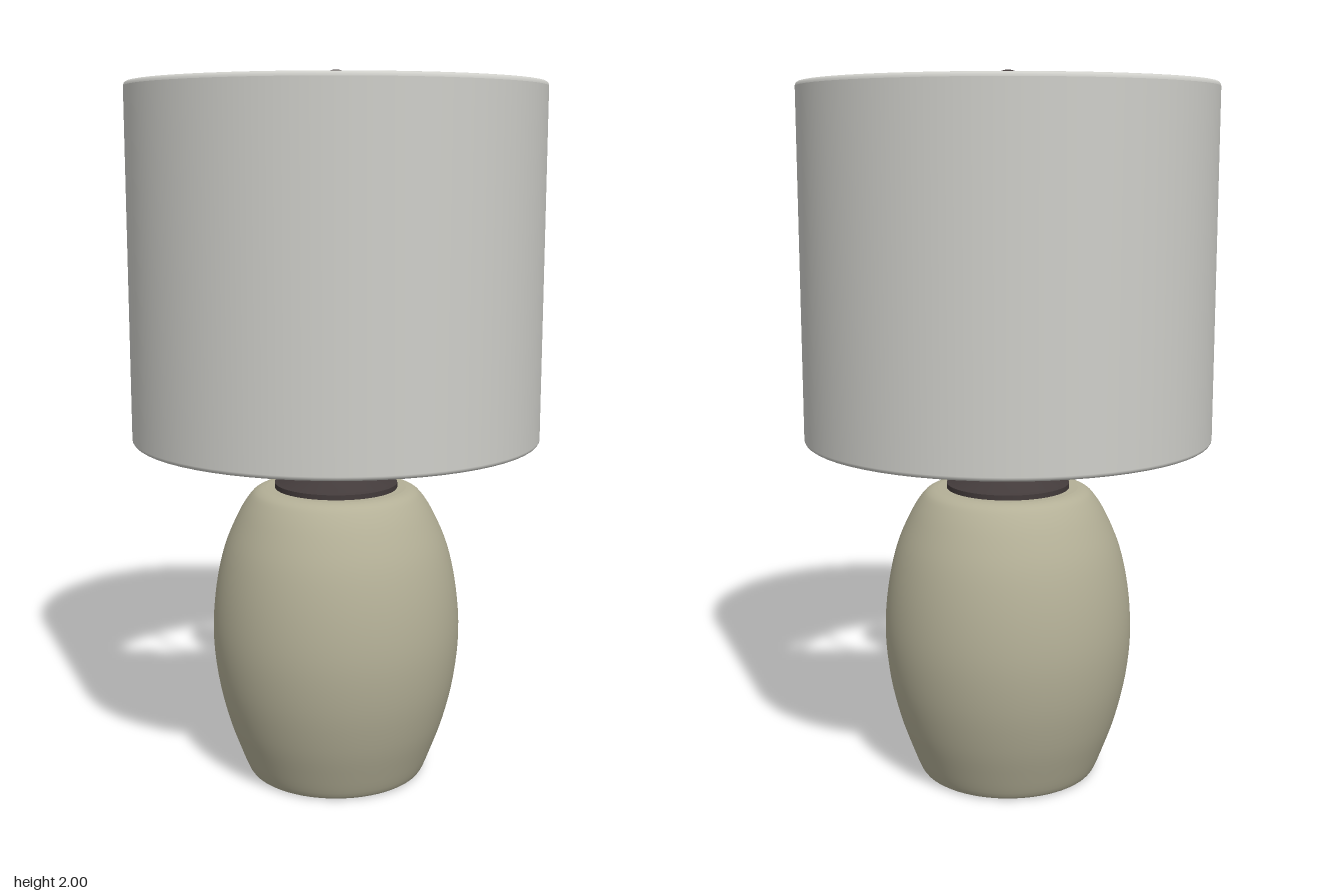
import * as THREE from 'three';

const mat = (name, color) => {
  const m = new THREE.MeshStandardMaterial({ color });
  m.name = name;
  return m;
};
const V = (x, y, z = 0) => new THREE.Vector3(x, y, z);

export function createModel() {
  const lamp = new THREE.Group();
  lamp.name = 'tableLamp';
  const linen = mat('pale grey linen', 0xcfcfca);
  const ceramic = mat('sage ceramic', 0xb4b097);
  const metal = mat('dark bronze', 0x433b3b);
  const glass = mat('white glass', 0xe6e6e6);

  const add = (name, geometry, material, x = 0, y = 0, z = 0) => {
    const mesh = new THREE.Mesh(geometry, material);
    mesh.name = name;
    mesh.position.set(x, y, z);
    lamp.add(mesh);
    return mesh;
  };
  // Lathe with crisp corners: each run of points is a separate smooth strip
  const turned = (name, runs, material, segments = 48) => runs.forEach(run =>
    add(name, new THREE.LatheGeometry(run.map(p => new THREE.Vector2(...p)), segments), material));
  const smooth = (pts, n) => new THREE.SplineCurve(pts.map(p => new THREE.Vector2(...p)))
    .getPoints(n).map(p => [p.x, p.y]);
  const disc = (name, r, y0, y1, seg = 32) =>
    add(name, new THREE.CylinderGeometry(r, r, y1 - y0, seg), metal, 0, (y0 + y1) / 2);
  const rod = (name, pts, r, n = 40) =>
    add(name, new THREE.TubeGeometry(new THREE.CatmullRomCurve3(pts), n, r, 8), metal);

  // Ceramic body with a flat foot and shoulder
  turned('body', [
    [[0, 0], [0.24, 0]],
    smooth([[0.24, 0], [0.256, 0.012], [0.282, 0.075], [0.315, 0.17], [0.343, 0.29], [0.355, 0.42],
      [0.346, 0.55], [0.32, 0.67], [0.28, 0.765], [0.245, 0.82], [0.222, 0.838], [0.2, 0.843]], 44),
    [[0.2, 0.843], [0, 0.843]],
  ], ceramic, 64);

  // Flared metal cap on the body
  turned('cap', [
    [[0.175, 0.84], [0.175, 0.857]],
    [[0.175, 0.857], [0.165, 0.86]],
    smooth([[0.165, 0.86], [0.12, 0.88], [0.085, 0.905], [0.068, 0.925]], 14),
    [[0.068, 0.925], [0, 0.925]],
  ], metal);

  // Neck, socket and its collars
  disc('neck', 0.038, 0.92, 1.02);
  disc('neckRing', 0.045, 0.925, 0.938);
  disc('socketFoot', 0.062, 1.0, 1.03);
  disc('socketLower', 0.052, 1.03, 1.14);
  disc('saddleCollar', 0.077, 1.13, 1.16);
  disc('socketUpper', 0.058, 1.16, 1.3);
  disc('socketRim', 0.064, 1.225, 1.24);

  // Switch key behind the socket
  const key = add('switchKey', new THREE.CylinderGeometry(0.01, 0.01, 0.06, 12), metal, 0, 1.2, -0.075);
  key.rotation.x = Math.PI / 2;

  // Bulb
  turned('bulb', [smooth([[0.045, 1.3], [0.05, 1.34], [0.074, 1.41], [0.086, 1.48],
    [0.076, 1.535], [0.045, 1.57], [0, 1.58]], 28)], glass, 32);

  // Harp: saddle arms, ferrules and the wire loop
  for (const s of [1, -1]) {
    rod('saddleArm', [V(s * 0.05, 1.14), V(s * 0.09, 1.11), V(s * 0.125, 1.12), V(s * 0.14, 1.17), V(s * 0.14, 1.22)], 0.009, 20);
    disc('ferrule', 0.013, 1.2, 1.25, 12).position.x = s * 0.14;
  }
  const half = [[0.14, 1.23], [0.165, 1.33], [0.195, 1.45], [0.207, 1.56], [0.192, 1.68], [0.145, 1.77], [0.075, 1.825]];
  rod('harp', [...half.map(([x, y]) => V(x, y)), V(0, 1.842),
    ...half.slice().reverse().map(([x, y]) => V(-x, y))], 0.007, 72);

  // Hub, finial and the three spokes carrying the shade
  disc('hub', 0.036, 1.835, 1.872, 24);
  disc('finialStem', 0.016, 1.86, 1.92, 16);
  add('finial', new THREE.SphereGeometry(0.052, 32, 20), metal, 0, 1.948);
  for (const [x, z] of [[0, 0.556], [0.393, -0.393], [-0.393, -0.393]]) {
    const spoke = add('spoke', new THREE.CylinderGeometry(0.009, 0.009, 0.555, 10), metal, x / 2, 1.86, z / 2);
    spoke.quaternion.setFromUnitVectors(V(0, 1), V(x, 0, z).normalize());
  }

  // Drum shade with rolled rims, open at both ends
  const [rOut, rIn, y0, y1] = [0.573, 0.549, 0.985, 1.965];
  const mid = (rOut + rIn) / 2, roll = (rOut - rIn) / 2;
  const rim = (y, from) => Array.from({ length: 9 }, (_, i) => {
    const a = from + Math.PI * i / 8;
    return [mid + roll * Math.cos(a), y + roll * Math.sin(a)];
  });
  const wall = [...rim(y1 - roll, 0), ...rim(y0 + roll, Math.PI)];
  turned('shade', [[...wall, wall[0]]], linen, 64);

  return lamp;
}
